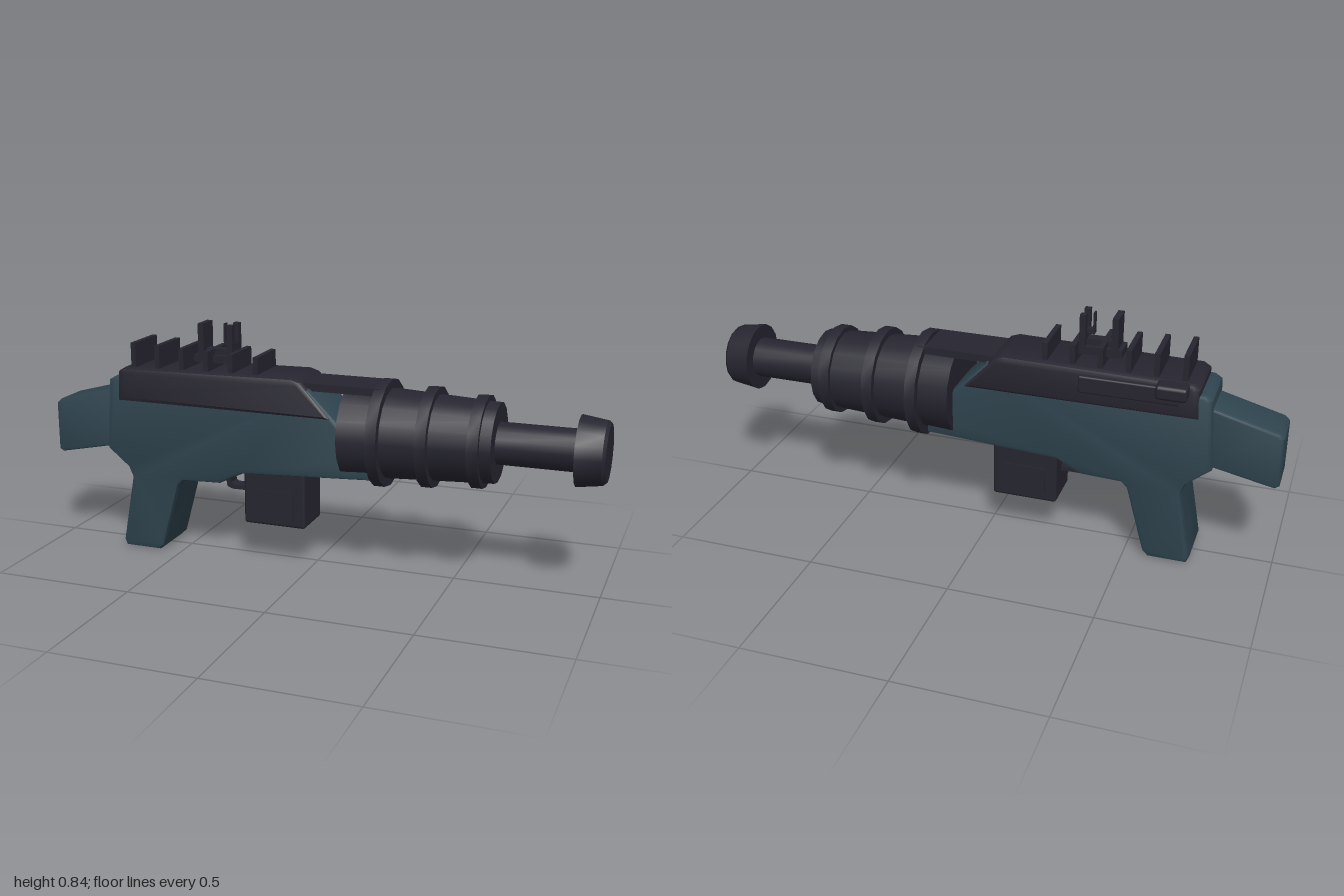
import * as THREE from 'three';
import { toCreasedNormals } from 'three/addons/utils/BufferGeometryUtils.js';
import { RoundedBoxGeometry } from 'three/addons/geometries/RoundedBoxGeometry.js';

const gunmetal = new THREE.MeshStandardMaterial({ color: 0x262530 });
gunmetal.name = 'gunmetal';
const slate = new THREE.MeshStandardMaterial({ color: 0x2f444f });
slate.name = 'slate teal';

export function createModel() {
  const model = new THREE.Group();
  model.name = 'blasterRifle';

  const add = (name, geometry, material) => {
    const mesh = new THREE.Mesh(geometry, material);
    mesh.name = name;
    model.add(mesh);
    return mesh;
  };

  // Box given by its minimum and maximum on each axis
  const box = (name, [x0, x1], [y0, y1], [z0, z1], material, radius = 0) => {
    const size = [x1 - x0, y1 - y0, z1 - z0];
    const geo = radius
      ? new RoundedBoxGeometry(...size, 2, radius)
      : new THREE.BoxGeometry(...size);
    geo.translate((x0 + x1) / 2, (y0 + y1) / 2, (z0 + z1) / 2);
    return add(name, geo, material);
  };

  // Side profile extruded across z, with rounded edges inside the outline
  const slab = (name, points, halfWidth, bevel, material) => {
    const shape = new THREE.Shape(points.map(([x, y]) => new THREE.Vector2(x, y)));
    const geo = new THREE.ExtrudeGeometry(shape, {
      depth: 2 * (halfWidth - bevel), bevelEnabled: bevel > 0,
      bevelSize: bevel, bevelThickness: bevel, bevelOffset: -bevel, bevelSegments: 2,
    });
    geo.translate(0, 0, -(halfWidth - bevel));
    return add(name, toCreasedNormals(geo, 0.6), material);
  };

  // Sixteen-sided turned part along x, profile as [x, radius]
  const turned = (name, profile, material) => {
    const geo = new THREE.LatheGeometry(profile.map(([x, r]) => new THREE.Vector2(r, x)), 16);
    geo.rotateZ(-Math.PI / 2).translate(0, 0.5, 0);
    return add(name, toCreasedNormals(geo, 0.5), material);
  };

  // Receiver with pistol grip
  slab('receiverAndGrip', [
    [-0.78, 0.37], [-0.70, 0.305], [-0.685, 0.27], [-0.73, 0.025], [-0.72, 0],
    [-0.585, 0], [-0.565, 0.02], [-0.50, 0.255], [-0.48, 0.275], [-0.34, 0.28],
    [-0.25, 0.325], [0.22, 0.35], [0.22, 0.42], [0.12, 0.53], [0.0, 0.65],
    [-0.74, 0.64], [-0.765, 0.625],
  ], 0.103, 0.015, slate);

  // Shoulder stock
  slab('stock', [
    [-1, 0.34], [-0.985, 0.33], [-0.74, 0.38], [-0.74, 0.595], [-0.985, 0.53], [-1, 0.515],
  ], 0.08, 0.012, slate);

  // Upper cover
  slab('upperCover', [
    [-0.73, 0.55], [0.085, 0.55], [-0.03, 0.675], [-0.06, 0.685],
    [-0.70, 0.675], [-0.725, 0.66],
  ], 0.108, 0.018, gunmetal);
  box('gasBlock', [-0.04, 0.25], [0.642, 0.668], [-0.082, 0.082], gunmetal);

  // Tapered shroud, barrel and flared muzzle
  turned('barrelShroud', [[0.12, 0], [0.12, 0.164], [0.64, 0.137], [0.64, 0]], gunmetal);
  [[0.248, 0.187], [0.413, 0.173], [0.583, 0.158]].forEach(([x, r]) => {
    turned('shroudRing', [
      [x - 0.019, 0.12], [x - 0.019, r], [x + 0.019, r], [x + 0.019, 0.12],
    ], gunmetal);
  });
  turned('barrel', [[0.62, 0.072], [0.92, 0.072]], gunmetal);
  turned('muzzle', [[0.903, 0], [0.903, 0.12], [0.99, 0.107], [1, 0.098], [1, 0]], gunmetal);

  // Magazine with raised side panels
  box('magazine', [-0.25, -0.02], [0.14, 0.36], [-0.082, 0.082], gunmetal, 0.01);
  for (const side of [-1, 1]) {
    box('magazinePanel', [-0.21, -0.06], [0.17, 0.27],
      [side * 0.083 - 0.004, side * 0.083 + 0.004], gunmetal);
  }

  // Trigger guard
  slab('triggerGuard', [
    [-0.345, 0.285], [-0.34, 0.25], [-0.32, 0.242], [-0.24, 0.242],
    [-0.24, 0.258], [-0.315, 0.258], [-0.325, 0.265], [-0.325, 0.29],
  ], 0.025, 0, gunmetal);

  // Row of cooling fins
  for (let i = 0; i < 6; i++) {
    const x = -0.67 + i * 0.094;
    box('coolingFin', [x - 0.009, x + 0.009], [0.66, 0.763 - i * 0.004], [-0.083, 0.083], gunmetal);
  }

  // Sight: base, rear plate, forked front plate and centre post
  box('sightBase', [-0.45, -0.287], [0.703, 0.73], [-0.04, 0.04], gunmetal);
  box('sightBridge', [-0.42, -0.30], [0.725, 0.75], [-0.02, 0.02], gunmetal);
  box('sightRearPlate', [-0.435, -0.414], [0.72, 0.84], [-0.04, 0.04], gunmetal);
  box('sightFrontPlate', [-0.325, -0.304], [0.72, 0.775], [-0.04, 0.04], gunmetal);
  for (const side of [-1, 1]) {
    box('sightFork', [-0.325, -0.304], [0.77, 0.84],
      [side * 0.029 - 0.011, side * 0.029 + 0.011], gunmetal);
  }
  box('sightPost', [-0.349, -0.343], [0.78, 0.84], [-0.011, 0.011], gunmetal);
  box('sightPostArm', [-0.349, -0.31], [0.765, 0.782], [-0.011, 0.011], gunmetal);

  // Bolt rail and charging handle on the far side
  box('boltRail', [-0.66, -0.325], [0.60, 0.66], [-0.123, -0.09], gunmetal, 0.006);
  box('chargingHandle', [-0.69, -0.585], [0.628, 0.677], [-0.154, -0.09], gunmetal, 0.012);

  return model;
}
